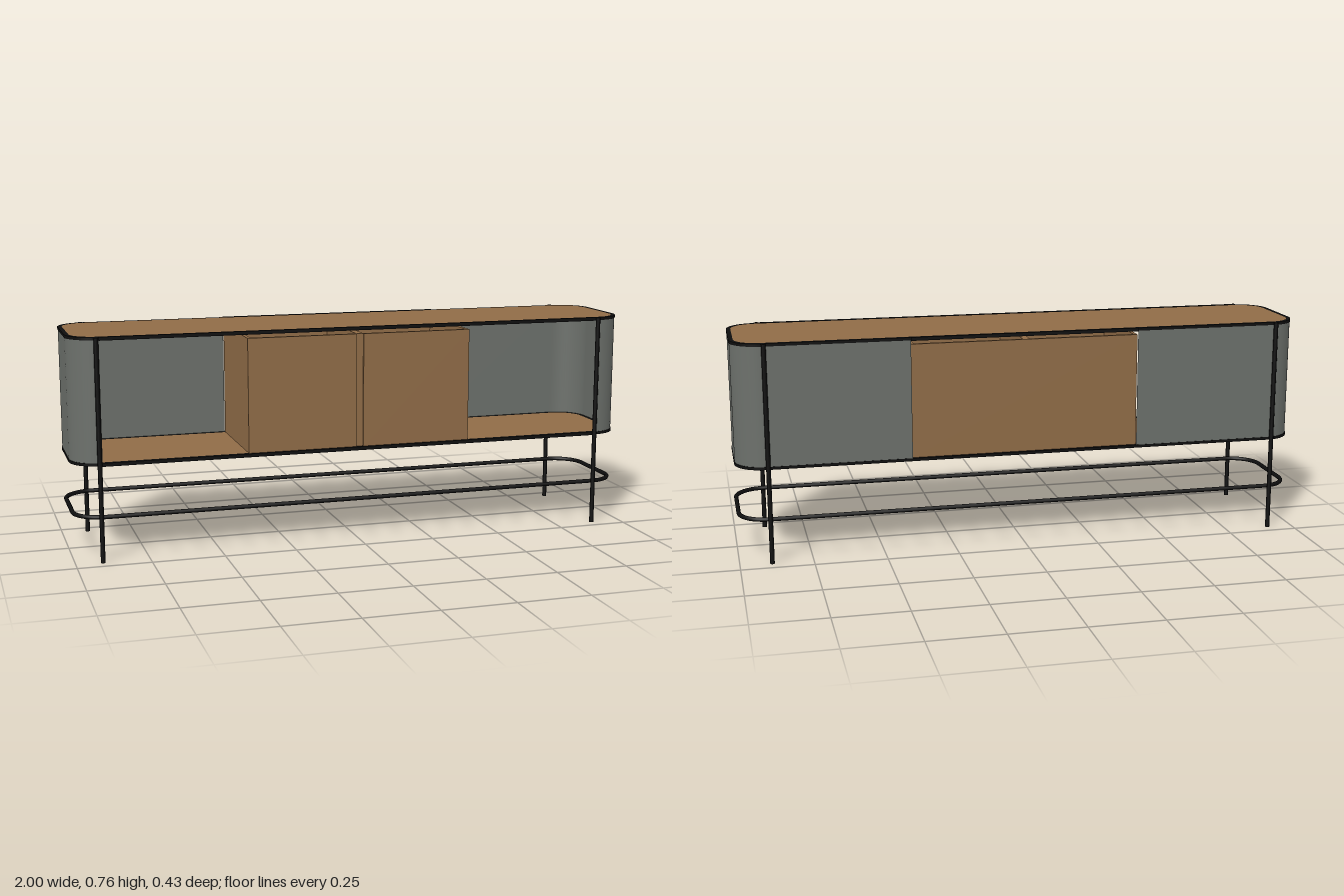
import * as THREE from 'three';

const wood = new THREE.MeshStandardMaterial({ color: 0x906c47 });
wood.name = 'walnut wood';
const grey = new THREE.MeshStandardMaterial({ color: 0x6c706b, side: THREE.DoubleSide });
grey.name = 'grey shell';
const black = new THREE.MeshStandardMaterial({ color: 0x0e0e0e });
black.name = 'black metal';

// Rounded rectangle in plan, with half sizes a, b and corner radius r
function outline(a, b, r, Type = THREE.Shape) {
  const s = new Type();
  s.absarc(a - r, b - r, r, 0, Math.PI / 2);
  s.absarc(-a + r, b - r, r, Math.PI / 2, Math.PI);
  s.absarc(-a + r, -b + r, r, Math.PI, Math.PI * 1.5);
  s.absarc(a - r, -b + r, r, Math.PI * 1.5, Math.PI * 2);
  s.closePath();
  return s;
}

function slab(shape, height) {
  const g = new THREE.ExtrudeGeometry(shape, { depth: height, bevelEnabled: false, curveSegments: 14 });
  return g.rotateX(-Math.PI / 2);
}

// Open wall following plan points [x, z], with smooth normals
function wall(points, y0, y1) {
  const pos = [], index = [];
  points.forEach(([x, z], i) => {
    pos.push(x, y0, z, x, y1, z);
    if (i) {
      const k = 2 * i;
      index.push(k - 2, k, k - 1, k - 1, k, k + 1);
    }
  });
  const g = new THREE.BufferGeometry();
  g.setAttribute('position', new THREE.Float32BufferAttribute(pos, 3));
  g.setIndex(index);
  g.computeVertexNormals();
  return g;
}

export function createModel() {
  const model = new THREE.Group();
  model.name = 'sideboard';
  const add = (name, geometry, material, x = 0, y = 0, z = 0) => {
    const m = new THREE.Mesh(geometry, material);
    m.name = name;
    m.position.set(x, y, z);
    model.add(m);
    return m;
  };
  const box = (name, mat, x0, x1, y0, y1, z0, z1) =>
    add(name, new THREE.BoxGeometry(x1 - x0, y1 - y0, z1 - z0), mat,
      (x0 + x1) / 2, (y0 + y1) / 2, (z0 + z1) / 2);

  // Top and bottom boards with black rims
  for (const [name, y] of [['top', 0.75], ['bottom', 0.329]]) {
    add(name + 'Board', slab(outline(0.985, 0.185, 0.085), 0.01), wood, 0, y, 0);
    const rim = outline(1, 0.2, 0.1);
    rim.holes.push(outline(0.985, 0.185, 0.085, THREE.Path));
    add(name + 'Rim', slab(rim, 0.01), black, 0, y, 0);
    // Rails along the open spans
    box(name + 'FrontRail', black, -0.9, 0.9, y - 0.001, y + 0.011, 0.198, 0.205);
  }
  box('topBackRail', black, -0.4, 0.4, 0.749, 0.761, -0.205, -0.198);

  // Curved end shells: open at the front, wrapping round to the back
  const r = 0.1, X = 0.9985, Z = 0.1985;
  const plan = [];
  for (let i = 0; i <= 16; i++) {
    const t = Math.PI / 2 * (1 - i / 16);
    plan.push([X - r + r * Math.cos(t), Z - r + r * Math.sin(t)]);
  }
  for (let i = 0; i <= 16; i++) {
    const t = -Math.PI / 2 * i / 16;
    plan.push([X - r + r * Math.cos(t), -Z + r + r * Math.sin(t)]);
  }
  plan.push([0.4, -Z]);
  for (const side of [1, -1]) {
    add(side > 0 ? 'leftShell' : 'rightShell', wall(plan, 0.332, 0.757), grey).scale.x = side;
  }

  // Central cabinet
  const y0 = 0.337, y1 = 0.735;
  box('rightDoor', wood, -0.4, -0.015, y0, y1, 0.18, 0.192);
  box('leftDoor', wood, 0.01, 0.4, y0, y1, 0.18, 0.192);
  box('centreDivider', wood, -0.015, 0.01, y0, y1, -0.178, 0.186);
  box('rightDivider', wood, -0.4, -0.388, y0, y1, -0.178, 0.18);
  box('leftDivider', wood, 0.388, 0.4, y0, y1, -0.178, 0.18);
  box('backPanel', wood, -0.4, 0.4, y0, y1, -0.19, -0.178);

  // Legs
  const leg = new THREE.CylinderGeometry(0.0078, 0.0078, 0.76, 16);
  for (const x of [-0.909, 0.891]) {
    for (const z of [-0.2075, 0.2075]) add(z > 0 ? 'frontLeg' : 'backLeg', leg, black, x, 0.38, z);
  }

  // Lower stretcher ring
  const pts = outline(0.9925, 0.1925, 0.0975).getPoints(14).map(p => new THREE.Vector3(p.x, 0, -p.y));
  const ring = new THREE.CurvePath();
  pts.forEach((p, i) => {
    const q = pts[(i + 1) % pts.length];
    if (p.distanceTo(q) > 1e-5) ring.add(new THREE.LineCurve3(p, q));
  });
  add('stretcherRing', new THREE.TubeGeometry(ring, 500, 0.0075, 10, true), black, 0, 0.153, 0);

  return model;
}
